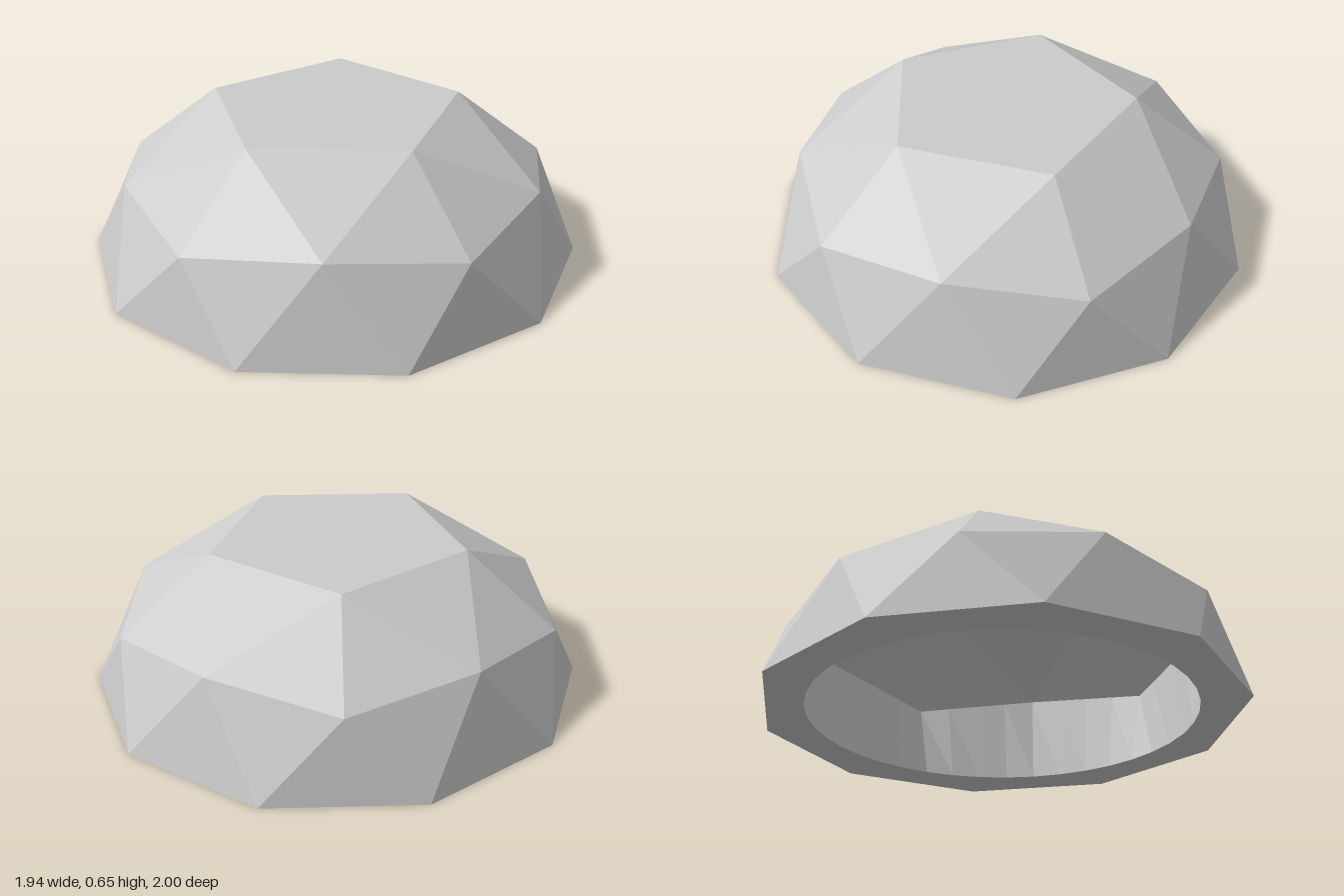
import * as THREE from 'three';

const SCALE = new THREE.Vector3(1.02, 0.758, 1); // squashed geodesic sphere
const INSET = 0.985; // thickness of the shell
const at = (deg, r, y) => {
  const a = THREE.MathUtils.degToRad(deg);
  return new THREE.Vector3(r * Math.cos(a), y, r * Math.sin(a));
};
const ring = (n, fn) => Array.from({ length: n }, (_, k) => fn(k));
const next = (list, k) => list[(k + 1) % list.length];

// Rings of the geodesic dome
const top = ring(5, k => at(72 * k, 0.5257, 0.851).multiply(SCALE));
const middle = ring(10, k =>
  (k % 2 ? at(36 * k, 0.851, 0.5257) : at(36 * k, 0.894, 0.447)).multiply(SCALE));
const base = ring(10, k => at(18 + 36 * k, 1, 0).multiply(SCALE));

// Split every side of a loop into four
const subdivide = loop => loop.flatMap((p, k) =>
  [0, 0.25, 0.5, 0.75].map(t => p.clone().lerp(next(loop, k), t)));

// Flat top and the sloping triangles below it, down to the middle ring
function upperFaces(t, m) {
  const centre = new THREE.Vector3(0, t[0].y, 0);
  return t.flatMap((p, j) => {
    const q = next(t, j), a = m[2 * j], b = m[2 * j + 1], c = m[(2 * j + 2) % 10];
    return [[centre, q, p], [p, b, a], [p, q, b], [q, c, b]];
  });
}

// Band between two loops with the same number of points
const band = (a, b) => a.flatMap((p, k) =>
  [[p, next(a, k), b[k]], [next(a, k), next(b, k), b[k]]]);

function part(name, faces, material) {
  const geometry = new THREE.BufferGeometry().setFromPoints(faces.flat());
  geometry.computeVertexNormals();
  const mesh = new THREE.Mesh(geometry, material);
  mesh.name = name;
  return mesh;
}

export function createModel() {
  const group = new THREE.Group();
  group.name = 'hollowDome';
  const material = new THREE.MeshStandardMaterial({
    color: 0xcccccc, flatShading: true, side: THREE.DoubleSide,
  });

  // Outer shell
  const lower = base.flatMap((p, k) => [
    [middle[k], next(middle, k), p],
    [next(base, k), p, next(middle, k)],
  ]);
  group.add(part('outerShell', [...upperFaces(top, middle), ...lower], material));

  // Ceiling of the hollow, facing inward
  const inset = loop => loop.map(p => p.clone().multiplyScalar(INSET));
  const innerMiddle = inset(middle);
  const ceiling = upperFaces(inset(top), innerMiddle).map(f => f.reverse());
  group.add(part('innerCeiling', ceiling, material));

  // Inner wall from the round opening up to the ceiling
  const opening = ring(40, k => at(9 * k, 0.8, 0));
  group.add(part('innerWall', band(opening, subdivide(innerMiddle)), material));

  // Flat underside between the ten-sided edge and the round opening
  const openingFromCorner = ring(40, k => opening[(k + 2) % 40]);
  group.add(part('bottomRim', band(subdivide(base), openingFromCorner), material));

  return group;
}
